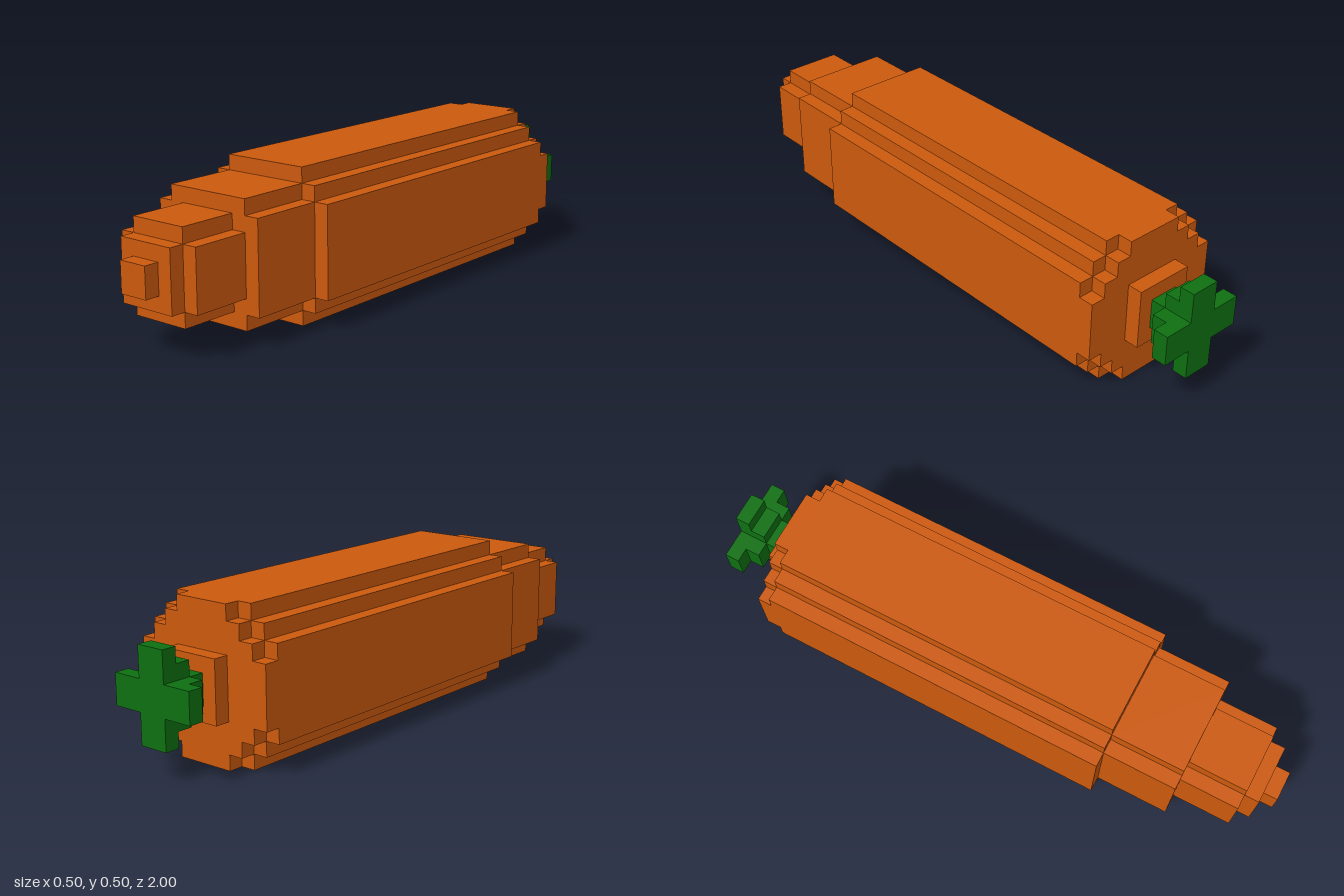
import * as THREE from 'three';

const CENTER_Y = 0.25;

// Stepped, four-way mirrored outline from nested half sizes [x, y], widest first
function steppedShape(steps) {
  const quarter = [];
  steps.forEach(([x, y], i) => {
    quarter.push([x, i ? steps[i - 1][1] : 0], [x, y]);
  });
  quarter.shift(); // the point on the x axis is not a corner
  const flipped = [...quarter].reverse();
  const outline = [
    ...quarter,
    ...flipped.map(([x, y]) => [-x, y]),
    ...quarter.map(([x, y]) => [-x, -y]),
    ...flipped.map(([x, y]) => [x, -y]),
  ];
  return new THREE.Shape(outline.map(([x, y]) => new THREE.Vector2(x, y)));
}

function addSection(group, name, material, zBack, zFront, steps) {
  const geometry = new THREE.ExtrudeGeometry(steppedShape(steps), {
    depth: zFront - zBack,
    bevelEnabled: false,
  });
  const mesh = new THREE.Mesh(geometry, material);
  mesh.name = name;
  mesh.position.set(0, CENTER_Y, zBack);
  group.add(mesh);
}

export function createModel() {
  const model = new THREE.Group();
  model.name = 'carrot';
  const orange = new THREE.MeshStandardMaterial({ color: 0xcb590d });
  orange.name = 'carrot orange';
  const green = new THREE.MeshStandardMaterial({ color: 0x0e6f11 });
  green.name = 'leaf green';

  // Root, from the crown at the back to the tip at the front
  const root = new THREE.Group();
  root.name = 'root';
  [
    ['crown', -0.85, -0.8, [[0.1, 0.1]]],
    ['shoulder', -0.8, -0.75, [[0.25, 0.1], [0.2, 0.15], [0.15, 0.2], [0.1, 0.25]]],
    ['body', -0.75, 0.45, [[0.25, 0.15], [0.2, 0.2], [0.15, 0.25]]],
    ['taper', 0.45, 0.7, [[0.2, 0.15], [0.15, 0.2]]],
    ['narrowTaper', 0.7, 0.9, [[0.15, 0.1], [0.1, 0.15]]],
    ['nose', 0.9, 0.95, [[0.1, 0.1]]],
    ['tip', 0.95, 1, [[0.05, 0.05]]],
  ].forEach(([name, back, front, steps]) => addSection(root, name, orange, back, front, steps));

  // Leaves, a cross that widens towards the back
  const leaves = new THREE.Group();
  leaves.name = 'leaves';
  [
    ['stem', -0.9, -0.85, [[0.05, 0.05]]],
    ['innerLeaves', -0.95, -0.9, [[0.1, 0.05], [0.05, 0.1]]],
    ['outerLeaves', -1, -0.95, [[0.15, 0.05], [0.05, 0.15]]],
  ].forEach(([name, back, front, steps]) => addSection(leaves, name, green, back, front, steps));

  model.add(root, leaves);
  return model;
}
